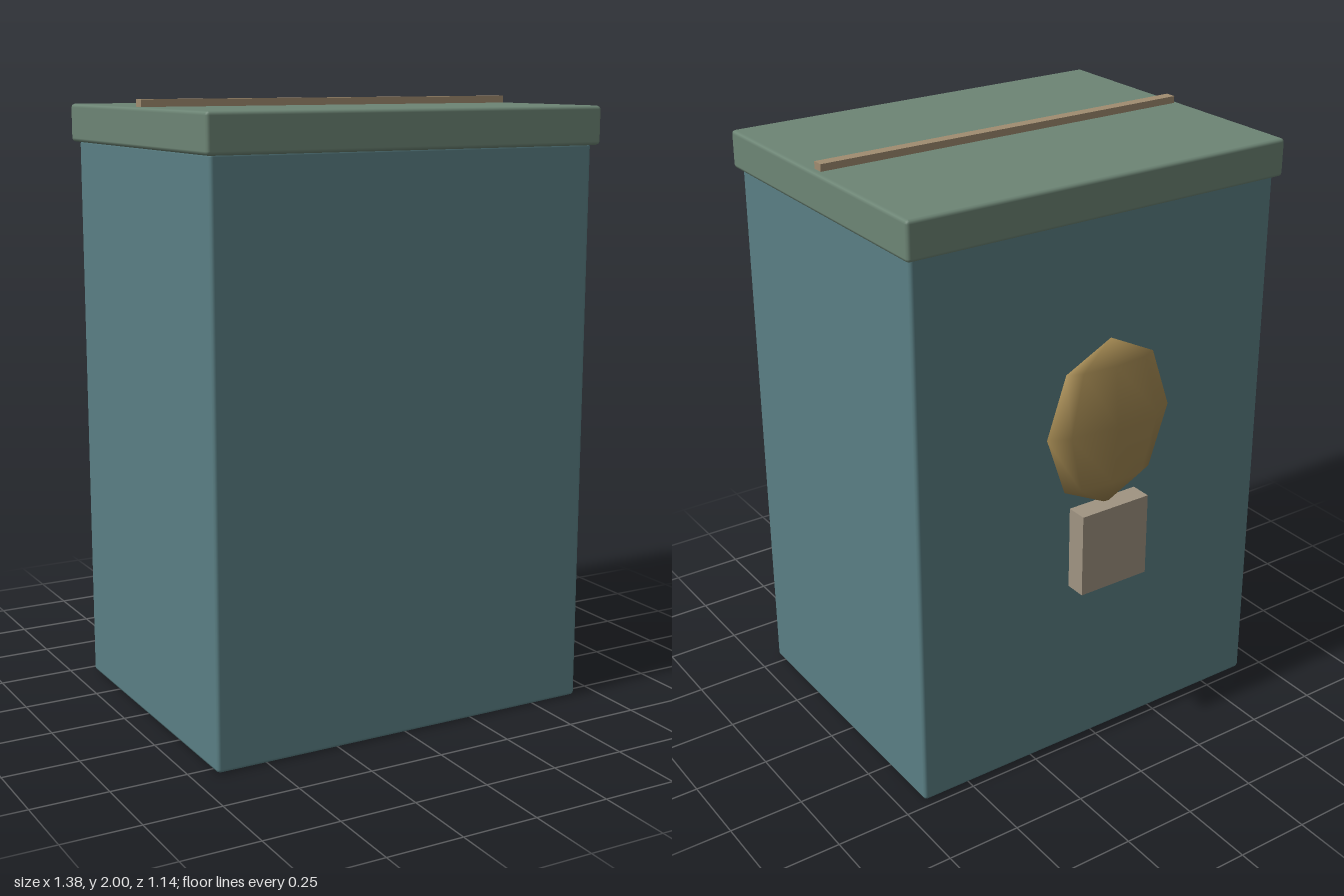
import * as THREE from 'three';
import { RoundedBoxGeometry } from 'three/addons/geometries/RoundedBoxGeometry.js';

// Box given by its limits, with an optional small bevel
function box(name, color, [x0, x1], [y0, y1], [z0, z1], bevel = 0) {
  const size = [x1 - x0, y1 - y0, z1 - z0];
  const geometry = bevel
    ? new RoundedBoxGeometry(...size, 1, bevel)
    : new THREE.BoxGeometry(...size);
  const mesh = new THREE.Mesh(geometry, new THREE.MeshStandardMaterial({ color }));
  mesh.position.set((x0 + x1) / 2, (y0 + y1) / 2, (z0 + z1) / 2);
  mesh.name = name;
  return mesh;
}

export function createModel() {
  const model = new THREE.Group();
  model.name = 'binWithLid';

  // Tall container, overhanging lid and the thin strip across its top
  model.add(
    box('body', 0x5a7f84, [-0.67, 0.67], [0, 1.86], [-0.475, 0.547], 0.012),
    box('lid', 0x6d8575, [-0.69, 0.69], [1.853, 1.977], [-0.498, 0.57], 0.012),
    box('lidStrip', 0xa08c70, [-0.668, 0.668], [1.976, 2.0], [0.018, 0.056]),
  );

  // Flattened low-poly oval on the back, with a small block below it
  const oval = new THREE.Mesh(
    new THREE.SphereGeometry(1, 8, 4),
    new THREE.MeshStandardMaterial({ color: 0xa08650 }),
  );
  oval.name = 'backOval';
  oval.scale.set(0.235, 0.283, 0.047);
  oval.position.set(0, 1.197, -0.525);
  model.add(oval, box('backBlock', 0xa09482, [-0.128, 0.128], [0.637, 0.92], [-0.574, -0.503]));

  return model;
}
